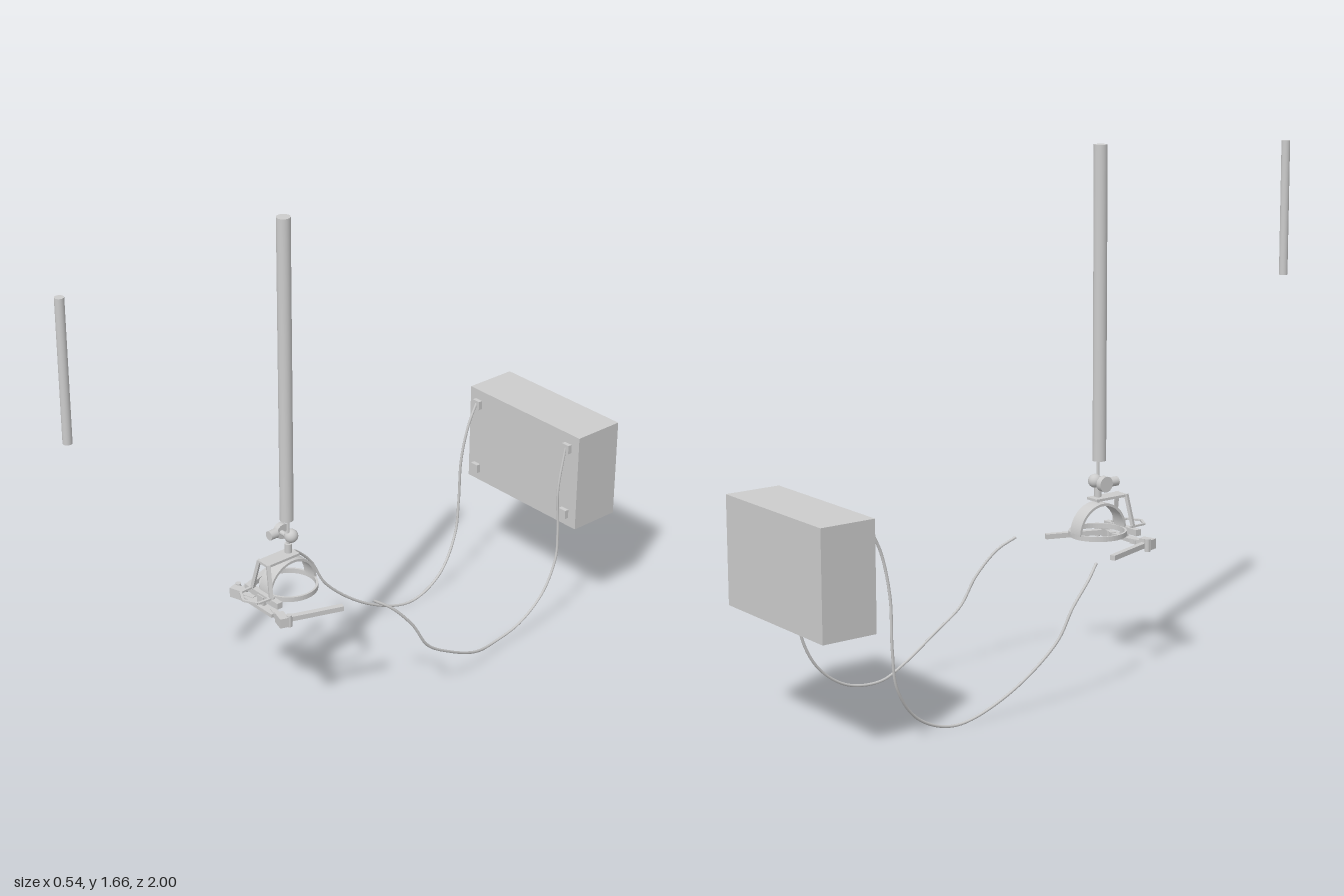
import * as THREE from 'three';

const CX = 0.008; // centre plane of the headset and poles
const V = (x, y, z) => new THREE.Vector3(x, y, z);
const mat = new THREE.MeshStandardMaterial({ color: 0xcccccc });

export function createModel() {
  const root = new THREE.Group();
  const add = (name, geo, x = 0, y = 0, z = 0, parent = root) => {
    const m = new THREE.Mesh(geo, mat);
    m.name = name;
    m.position.set(x, y, z);
    parent.add(m);
    return m;
  };
  const box = (name, w, h, d, x, y, z, parent) => add(name, new THREE.BoxGeometry(w, h, d), x, y, z, parent);
  const cyl = (name, r, h, x, y, z, parent) => add(name, new THREE.CylinderGeometry(r, r, h, 24), x, y, z, parent);
  // bar of given width and height running between two points
  const bar = (name, a, b, w, h, parent) => {
    const m = box(name, w, h, a.distanceTo(b), 0, 0, 0, parent);
    m.position.copy(a).add(b).multiplyScalar(0.5);
    m.lookAt(b);
    return m;
  };
  // arc or full ring with a rectangular section
  const band = (rOut, rIn, depth, end) => {
    const s = new THREE.Shape();
    s.absarc(0, 0, rOut, 0, end, false);
    if (end < Math.PI * 2) {
      s.absarc(0, 0, rIn, end, 0, true);
      s.closePath();
    } else {
      s.holes.push(new THREE.Path().absarc(0, 0, rIn, 0, end, true));
    }
    return new THREE.ExtrudeGeometry(s, { depth, bevelEnabled: false, curveSegments: 32 }).translate(0, 0, -depth / 2);
  };

  // Poles
  cyl('mainPole', 0.0215, 0.99, CX, 1.165, 0.21);
  cyl('handRod', 0.014, 0.44, CX, 1.41, 0.985);

  // Control box with its four sockets
  box('controlBox', 0.51, 0.335, 0.18, -0.015, 0.5275, -0.91);
  for (const x of [-0.23, 0.192])
    for (const y of [0.645, 0.405]) box('socket', 0.03, 0.03, 0.015, x, y, -0.813);

  // Headset
  const head = new THREE.Group();
  head.name = 'headset';
  root.add(head);

  // Ball joint hanging under the main pole
  cyl('stem', 0.005, 0.14, CX, 0.605, 0.205, head);
  add('ball', new THREE.SphereGeometry(0.022, 24, 16), CX, 0.607, 0.193, head);
  cyl('clampShaft', 0.008, 0.05, -0.015, 0.605, 0.2, head).rotation.z = Math.PI / 2;
  cyl('clampKnob', 0.025, 0.02, -0.04, 0.605, 0.193, head).rotation.z = Math.PI / 2;
  cyl('clampScrew', 0.015, 0.028, -0.035, 0.607, 0.232, head).rotation.x = Math.PI / 2;
  cyl('stemCollar', 0.012, 0.03, CX, 0.57, 0.205, head);

  // Head ring and the arch over it
  add('headRing', band(0.092, 0.085, 0.016, Math.PI * 2), CX, 0.438, 0.205, head).rotation.x = Math.PI / 2;
  add('headArch', band(0.093, 0.085, 0.05, Math.PI), CX, 0.442, 0.207, head).rotation.y = Math.PI / 2;

  // Front bracket
  box('topPlate', 0.05, 0.008, 0.125, CX, 0.548, 0.243, head);
  for (const s of [-1, 1])
    bar('bracketLeg', V(CX + s * 0.048, 0.44, 0.312), V(CX + s * 0.022, 0.552, 0.302), 0.012, 0.01, head);
  box('bracketBase', 0.16, 0.02, 0.02, CX, 0.437, 0.305, head);
  box('lowerBar', 0.14, 0.012, 0.03, CX, 0.405, 0.315, head);
  box('frontPost', 0.03, 0.04, 0.012, CX, 0.42, 0.312, head);

  // Thin front loop
  const loop = [[-0.047, 0.3], [-0.043, 0.36], [0, 0.384], [0.043, 0.36], [0.047, 0.3]]
    .map(([x, z]) => V(CX + x, 0.45, z));
  for (let i = 0; i < loop.length - 1; i++) bar('frontLoop', loop[i], loop[i + 1], 0.008, 0.006, head);

  // Side arms with their hinges
  for (const s of [-1, 1]) {
    bar('sideArm', V(CX + s * 0.105, 0.403, 0.31), V(CX + s * 0.168, 0.403, 0.127), 0.018, 0.016, head);
    bar('hingeLink', V(CX + s * 0.045, 0.405, 0.305), V(CX + s * 0.125, 0.405, 0.328), 0.018, 0.016, head);
    box('hingeBlock', 0.045, 0.032, 0.028, CX + s * 0.107, 0.406, 0.32, head).rotation.y = -s * 0.3;
    cyl('hingePin', 0.009, 0.04, CX + s * 0.125, 0.406, 0.305, head);
  }

  // Hanging cables from the control box
  const cable = (name, pts) => add(name, new THREE.TubeGeometry(
    new THREE.CatmullRomCurve3(pts.map((p) => V(...p))), 120, 0.0045, 8));
  cable('rightCable', [[-0.195, 0.408, 0.035], [-0.225, 0.37, -0.02], [-0.238, 0.3, -0.09], [-0.23, 0.2, -0.145],
    [-0.212, 0.065, -0.315], [-0.204, 0.005, -0.5], [-0.214, 0.055, -0.64], [-0.236, 0.17, -0.73],
    [-0.243, 0.29, -0.75], [-0.238, 0.45, -0.752], [-0.23, 0.58, -0.775], [-0.23, 0.65, -0.808]]);
  cable('leftCable', [[0.212, 0.408, 0.035], [0.238, 0.37, -0.02], [0.258, 0.29, -0.09], [0.266, 0.2, -0.145],
    [0.262, 0.13, -0.25], [0.235, 0.06, -0.39], [0.203, 0.035, -0.5], [0.192, 0.055, -0.63], [0.192, 0.13, -0.73],
    [0.192, 0.24, -0.785], [0.192, 0.35, -0.79], [0.192, 0.5, -0.782], [0.192, 0.65, -0.808]]);
  return root;
}
